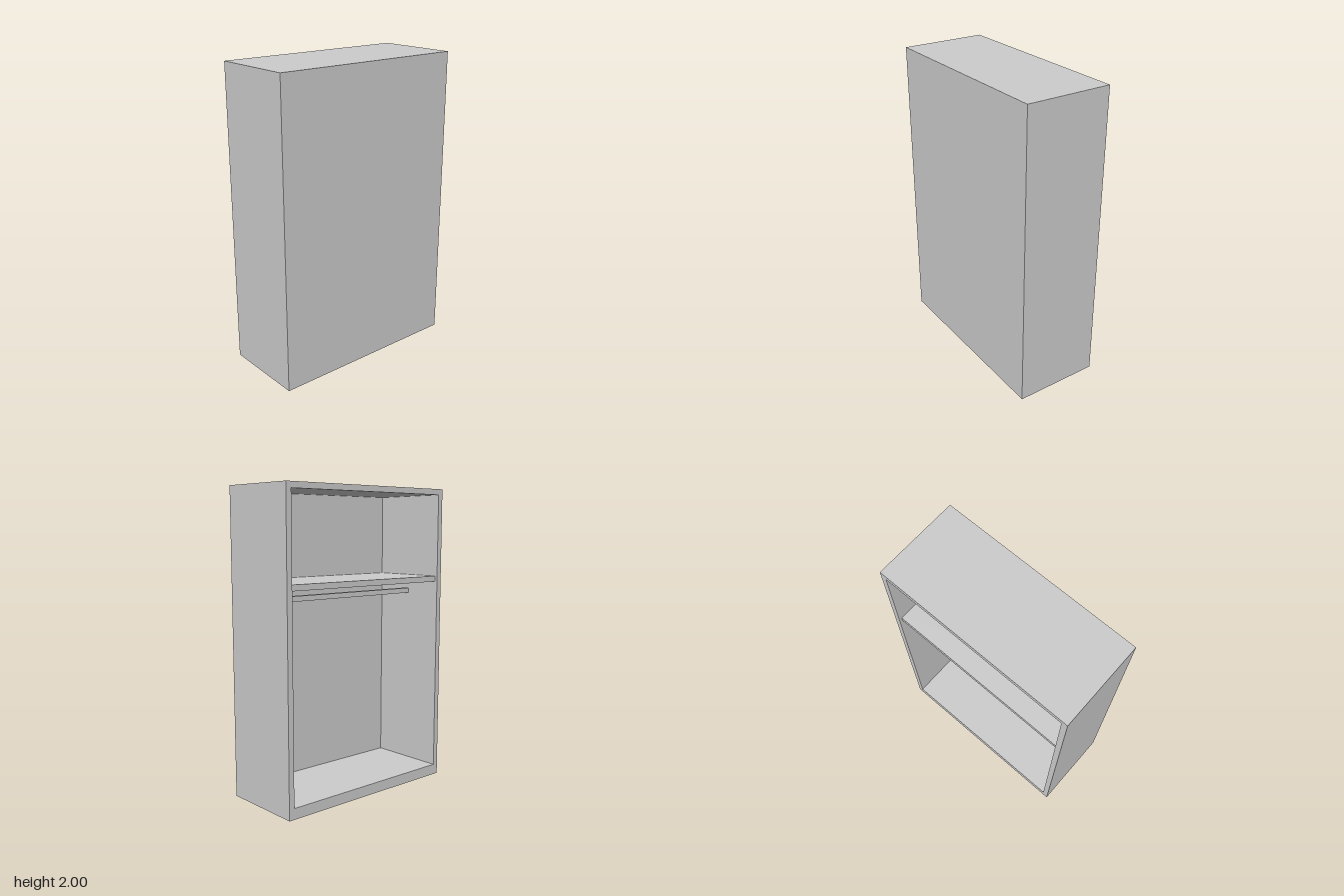
import * as THREE from 'three';

const W = 1.333, H = 2, D = 0.57;   // overall size
const WALL = 0.038, FLOOR = 0.071;  // side/top and floor thickness
const FRONT = 0.035;                // front panel thickness

export function createModel() {
  const wardrobe = new THREE.Group();
  wardrobe.name = 'wardrobe';
  const material = new THREE.MeshStandardMaterial({ color: 0xcccccc });

  const add = (name, geometry, x, y, z) => {
    const mesh = new THREE.Mesh(geometry, material);
    mesh.name = name;
    mesh.position.set(x, y, z);
    wardrobe.add(mesh);
  };
  const rect = (target, x0, y0, x1, y1) => {
    target.moveTo(x0, y0);
    target.lineTo(x1, y0);
    target.lineTo(x1, y1);
    target.lineTo(x0, y1);
    target.closePath();
    return target;
  };

  // Carcass: sides, top and floor as one frame, open at the back
  const inner = W - 2 * WALL;
  const outline = rect(new THREE.Shape(), -W / 2, 0, W / 2, H);
  outline.holes.push(rect(new THREE.Path(), -inner / 2, FLOOR, inner / 2, H - WALL));
  add('carcass', new THREE.ExtrudeGeometry(outline, { depth: D - FRONT, bevelEnabled: false }), 0, 0, -D / 2);

  // Plain panel closing the front
  add('frontPanel', new THREE.BoxGeometry(W, H, FRONT), 0, H / 2, D / 2 - FRONT / 2);

  // Shelf, set in slightly from the open side
  const inset = 0.02, shelfDepth = D - FRONT - inset;
  add('shelf', new THREE.BoxGeometry(inner, 0.038, shelfDepth), 0, 1.395, -D / 2 + inset + shelfDepth / 2);

  // Square hanging rail below the shelf
  add('hangingRail', new THREE.BoxGeometry(inner, 0.034, 0.036), 0, 1.301, 0);

  return wardrobe;
}
